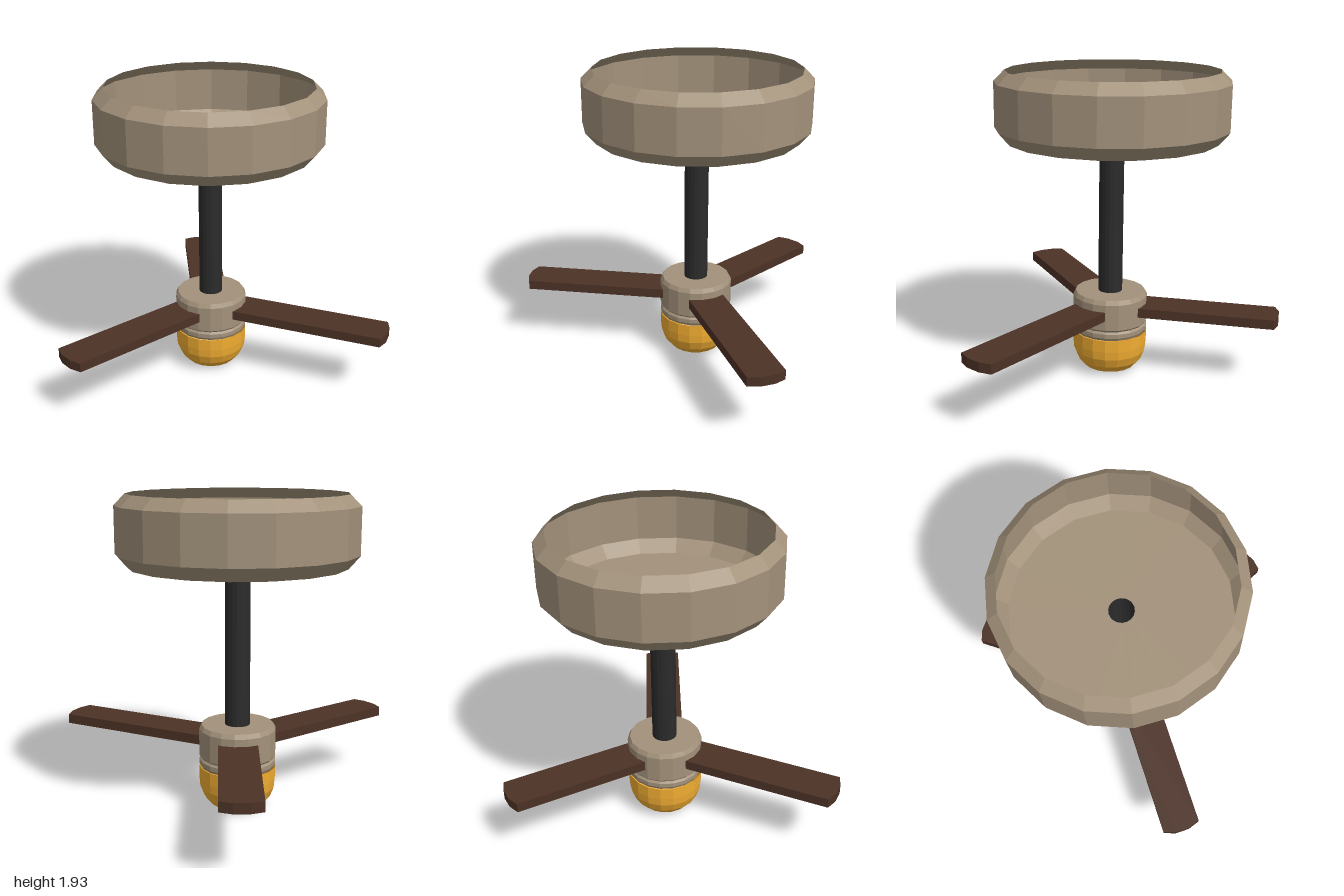
import * as THREE from 'three';

const CENTER = [-0.2, -0.147];
const SIDES = 18;
const PHASE = THREE.MathUtils.degToRad(16.7);

const material = (color) =>
  new THREE.MeshStandardMaterial({ color, flatShading: true, side: THREE.DoubleSide });

// Faceted shell turned from [radius, y] points
function turned(name, points, mat) {
  const profile = points.map(([r, y]) => new THREE.Vector2(r, y));
  const mesh = new THREE.Mesh(new THREE.LatheGeometry(profile, SIDES, PHASE), mat);
  mesh.name = name;
  return mesh;
}

// Flat plank with a gently rounded tip, pointing outward at the given angle
function blade(name, degrees, length, mat) {
  const w = 0.119, start = 0.13;
  const shape = new THREE.Shape();
  shape.moveTo(start, -w);
  shape.lineTo(length, -w);
  shape.lineTo(length + 0.025, -0.045);
  shape.lineTo(length + 0.025, 0.045);
  shape.lineTo(length, w);
  shape.lineTo(start, w);
  const geometry = new THREE.ExtrudeGeometry(shape, { depth: 0.06, bevelEnabled: false });
  geometry.rotateX(-Math.PI / 2);
  const mesh = new THREE.Mesh(geometry, mat);
  mesh.name = name;
  mesh.position.y = 0.4;
  mesh.rotation.y = THREE.MathUtils.degToRad(degrees);
  return mesh;
}

export function createModel() {
  const metal = material(0xa3927b);
  const dark = material(0x2b2b2c);
  const wood = material(0x4c3226);
  const gold = material(0xf0ac32);

  const fan = new THREE.Group();
  fan.name = 'ceilingFan';
  fan.position.set(CENTER[0], 0, CENTER[1]);

  // Ceiling canopy: shallow bowl, open at the top, with a hole for the rod
  fan.add(turned('canopy', [
    [0.077, 1.51], [0.655, 1.51], [0.722, 1.588], [0.722, 1.868], [0.655, 1.935],
  ], metal));

  // Hollow hanging rod
  fan.add(turned('rod', [[0.077, 0.53], [0.077, 1.51]], dark));

  // Motor housing with a grooved collar at its base
  fan.add(turned('motorHousing', [
    [0.228, 0.268], [0.237, 0.285], [0.237, 0.312], [0.226, 0.325],
    [0.237, 0.338], [0.237, 0.505], [0.222, 0.532], [0.077, 0.532],
  ], metal));

  // Round lamp with a flattened bottom
  fan.add(turned('lamp', [
    [0, 0], [0.11, 0], [0.165, 0.026], [0.208, 0.075],
    [0.232, 0.135], [0.237, 0.19], [0.237, 0.268],
  ], gold));

  // Blades, slightly uneven in angle and reach
  [[15.3, 1.188], [132.2, 1.04], [258.5, 1.13]].forEach(([angle, length], i) =>
    fan.add(blade(`blade${i + 1}`, angle, length, wood)));

  const model = new THREE.Group();
  model.name = 'model';
  model.add(fan);
  return model;
}
